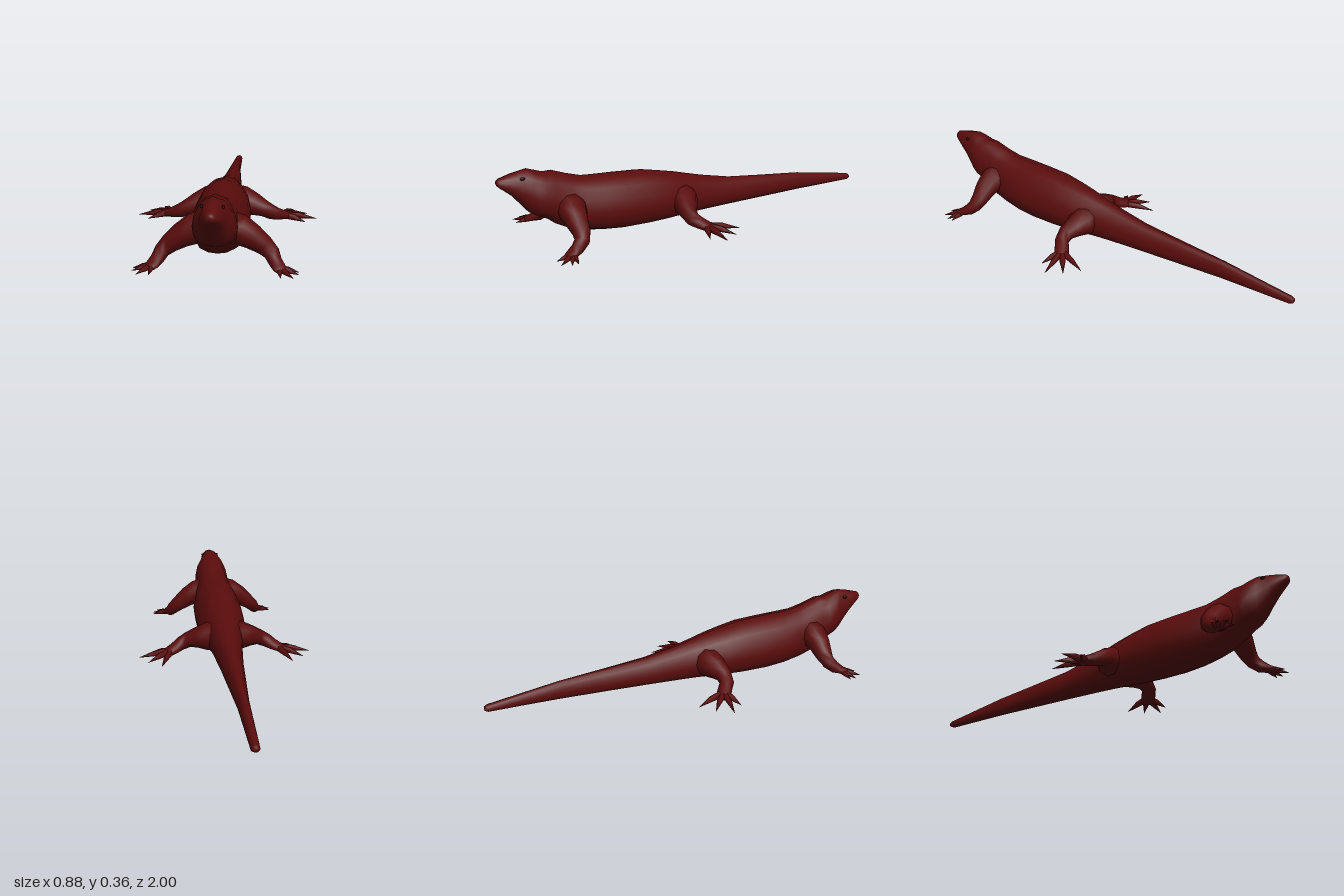
import * as THREE from 'three';

const skin = new THREE.MeshStandardMaterial({ color: 0x5a0c0c });
const dark = new THREE.MeshStandardMaterial({ color: 0x140404 });

// Skins a list of equal rings (counter-clockwise about the path) and caps both ends.
function loft(rings) {
  const n = rings[0].length, pos = [], index = [];
  rings.forEach(r => r.forEach(p => pos.push(p.x, p.y, p.z)));
  for (let j = 0; j < rings.length - 1; j++) {
    for (let i = 0; i < n; i++) {
      const a = j * n + i, b = j * n + (i + 1) % n;
      index.push(a, b, a + n, b, b + n, a + n);
    }
  }
  [0, rings.length - 1].forEach((j, end) => {
    const c = new THREE.Vector3();
    rings[j].forEach(p => c.addScaledVector(p, 1 / n));
    const k = pos.length / 3;
    pos.push(c.x, c.y, c.z);
    for (let i = 0; i < n; i++) {
      const a = j * n + i, b = j * n + (i + 1) % n;
      if (end) index.push(k, a, b); else index.push(k, b, a);
    }
  });
  const g = new THREE.BufferGeometry();
  g.setAttribute('position', new THREE.Float32BufferAttribute(pos, 3));
  g.setIndex(index);
  g.computeVertexNormals();
  return g;
}

// Tapered limb along stations [x, y, z, radius, height ratio]; never dips below the floor.
function limb(stations, side, sides) {
  const pts = stations.map(s => new THREE.Vector3(s[0] * side, s[1], s[2]));
  const up = new THREE.Vector3(0, 1, 0);
  return loft(stations.map((s, j) => {
    const t = pts[Math.min(j + 1, pts.length - 1)].clone().sub(pts[Math.max(j - 1, 0)]).normalize();
    const u = up.clone().cross(t).normalize(), v = t.clone().cross(u);
    return Array.from({ length: sides }, (_, i) => {
      const a = i / sides * Math.PI * 2;
      const p = pts[j].clone().addScaledVector(u, Math.cos(a) * s[3])
        .addScaledVector(v, Math.sin(a) * s[3] * (s[4] ?? 1));
      p.y = Math.max(p.y, 0.004);
      return p;
    });
  }));
}

// Body stations from tail tip to snout: [z, top, bottom, half width]
const BODY = [
  [-1, 0.034, 0.014, 0.012], [-0.985, 0.042, 0.008, 0.02], [-0.64, 0.1, 0.008, 0.027],
  [-0.4, 0.125, 0.007, 0.044], [-0.2, 0.147, 0.006, 0.058], [-0.04, 0.182, 0.005, 0.075],
  [0.04, 0.203, 0.004, 0.086], [0.12, 0.225, 0.003, 0.104], [0.2, 0.243, 0.002, 0.12],
  [0.3, 0.264, 0, 0.128], [0.42, 0.272, 0.002, 0.13], [0.52, 0.277, 0.012, 0.127],
  [0.61, 0.284, 0.025, 0.112], [0.68, 0.305, 0.042, 0.1], [0.75, 0.331, 0.08, 0.092],
  [0.79, 0.33, 0.112, 0.095], [0.83, 0.344, 0.13, 0.089], [0.865, 0.356, 0.152, 0.07],
  [0.9, 0.35, 0.195, 0.056], [0.935, 0.342, 0.238, 0.048], [0.97, 0.332, 0.268, 0.034],
  [0.992, 0.326, 0.286, 0.024], [1, 0.318, 0.296, 0.015]];

// Half cross-section from belly to back: [fraction of half width, fraction of height]
const HALF = [[0, 0], [0.4, 0.02], [0.75, 0.09], [0.94, 0.24], [1, 0.42],
  [0.9, 0.63], [0.68, 0.82], [0.42, 0.94], [0.15, 0.965], [0, 1]];

// Limbs and toe tips of one side
const LEGS = {
  frontLeg: {
    path: [[0.04, 0.165, 0.69, 0.075], [0.1, 0.155, 0.69, 0.066], [0.15, 0.127, 0.695, 0.054],
      [0.2, 0.09, 0.695, 0.042], [0.232, 0.06, 0.705, 0.035], [0.248, 0.034, 0.735, 0.029],
      [0.265, 0.02, 0.77, 0.032, 0.5], [0.275, 0.015, 0.79, 0.026, 0.45]],
    palm: [0.262, 0.017, 0.762],
    tips: [[0.345, 0.77], [0.345, 0.8], [0.322, 0.84], [0.27, 0.84]], radius: 0.014 },
  hindLeg: {
    path: [[0.03, 0.1, 0.105, 0.08], [0.09, 0.095, 0.11, 0.072], [0.14, 0.085, 0.125, 0.054],
      [0.185, 0.07, 0.14, 0.04], [0.225, 0.05, 0.137, 0.035], [0.255, 0.036, 0.115, 0.035, 0.8],
      [0.29, 0.024, 0.092, 0.036, 0.55], [0.31, 0.018, 0.08, 0.03, 0.5]],
    palm: [0.275, 0.026, 0.098],
    tips: [[0.33, -0.055], [0.395, 0.005], [0.44, 0.08], [0.385, 0.14]], radius: 0.018 },
};

export function createModel() {
  const model = new THREE.Group();
  const add = (name, geometry, parent = model, material = skin) => {
    const m = new THREE.Mesh(geometry, material);
    m.name = name;
    parent.add(m);
    return m;
  };

  // Tail, trunk and head in one continuous skin
  const outline = [...HALF, ...HALF.slice(1, -1).reverse().map(([x, y]) => [-x, y])];
  add('body', loft(BODY.map(([z, top, bottom, w]) =>
    outline.map(([x, y]) => new THREE.Vector3(x * w, bottom + y * (top - bottom), z)))));

  for (const side of [1, -1]) {
    const label = side > 0 ? 'left' : 'right';

    // Sprawling legs with slender clawed toes
    for (const [name, leg] of Object.entries(LEGS)) {
      const group = new THREE.Group();
      group.name = label + name[0].toUpperCase() + name.slice(1);
      model.add(group);
      add('leg', limb(leg.path, side, 10), group);
      const [px, py, pz] = leg.palm;
      leg.tips.forEach(([x, z], i) => {
        const at = (f, y, r) => [px + (x - px) * f, y, pz + (z - pz) * f, r];
        add('toe' + (i + 1), limb([at(0, py, leg.radius), at(0.5, py * 0.8, leg.radius * 0.8),
          at(1, 0.005, 0.0008)], side, 6), group);
      });
    }

    // Small dark eye under the brow
    const eye = add(label + 'Eye', new THREE.SphereGeometry(0.009, 12, 8), model, dark);
    eye.position.set(side * 0.043, 0.322, 0.895);
    eye.scale.set(0.7, 0.8, 1.3);
  }
  return model;
}
